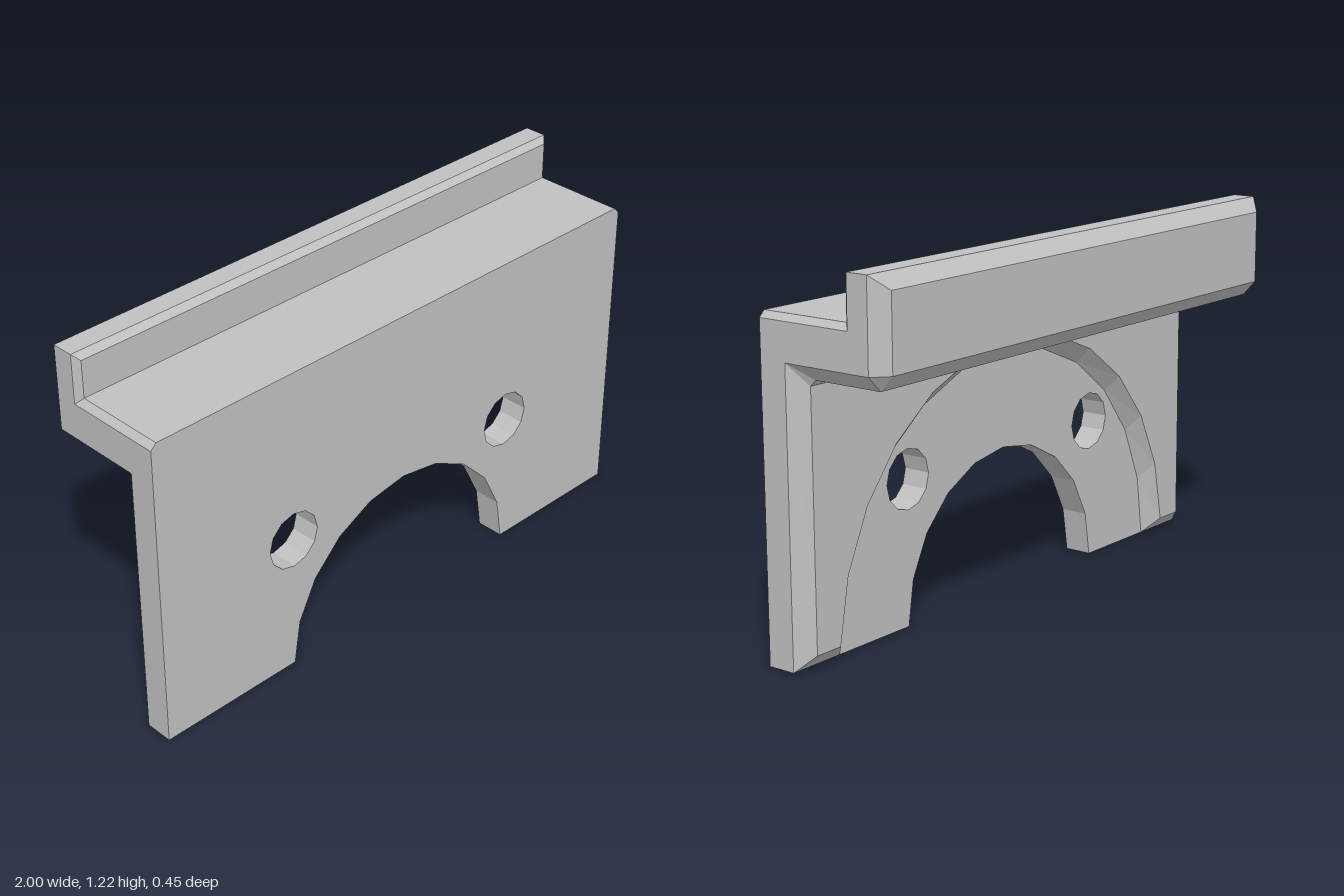
import * as THREE from 'three';

const R = 0.48, FLOOR_R = 0.80, RIM_R = 0.85;          // opening and recess radii
const FRONT = 0.23, FLOOR = 0.135, BACK = 0.085;       // plate depths in z
const HOLE = { x: 0.475, y: 0.475, r: 0.098 };

const v2 = ([x, y]) => new THREE.Vector2(x, y);
const atZ = (pts, z) => pts.map(([x, y]) => [x, y, z]);
const mirrorX = (pts) => pts.map(([x, y, z]) => [-x, y, z]).reverse();

// Points on a circle from angle a to angle b
function arc(r, n, a = 0, b = Math.PI, cx = 0, cy = 0) {
  return Array.from({ length: n + 1 }, (_, i) => {
    const t = a + (b - a) * i / n;
    return [cx + r * Math.cos(t), cy + r * Math.sin(t)];
  });
}

// Flat-shaded quads between pairs of matching rows of points
function strips(pairs) {
  const pos = [];
  for (const [A, B] of pairs) {
    for (let i = 0; i < A.length - 1; i++) {
      pos.push(...A[i], ...A[i + 1], ...B[i + 1], ...A[i], ...B[i + 1], ...B[i]);
    }
  }
  const g = new THREE.BufferGeometry();
  g.setAttribute('position', new THREE.Float32BufferAttribute(pos, 3));
  g.computeVertexNormals();
  return g;
}

// Flat face with optional holes, facing +z
function face(pts, holes = []) {
  const s = new THREE.Shape(pts.map(v2));
  holes.forEach((h) => s.holes.push(new THREE.Path(h.map(v2))));
  return new THREE.ShapeGeometry(s);
}

export function createModel() {
  const group = new THREE.Group();
  const grey = new THREE.MeshStandardMaterial({ color: 0xc0c0c0 });
  grey.name = 'light grey';
  grey.flatShading = true;
  const add = (name, geo) => {
    const m = new THREE.Mesh(geo, grey);
    m.name = name;
    group.add(m);
  };

  const opening = arc(R, 10);
  const boltHoles = [-1, 1].map((s) => arc(HOLE.r, 12, 0, Math.PI * 2, s * HOLE.x, HOLE.y));
  const holePaths = boltHoles.map((h) => h.slice(0, -1));

  // Bracket body: profile rows as z, y, half width, then z, y on the end face
  const profile = [
    [BACK, 0.05, 0.95, FLOOR, 0],
    [BACK, 0.86, 0.95, FLOOR, 0.93],
    [0.065, 0.88, 0.95, FLOOR, 0.93],
    [-0.18, 0.88, 0.95, -0.18, 0.93],
    [-0.225, 0.93, 0.95, -0.18, 0.93],
    [-0.225, 1.17, 0.95, -0.18, 1.215],
    [-0.18, 1.215, 1, -0.18, 1.215],
    [-0.105, 1.215, 1, -0.105, 1.215],
    [-0.085, 1.195, 0.98, -0.105, 1.215],
    [-0.085, 1.07, 0.98, -0.105, 1.05],
    [FRONT, 1.07, 0.98, FRONT, 1.05],
  ];
  const rows = profile.map(([z, y, x, ze, ye]) => [[-1, ye, ze], [-x, y, z], [x, y, z], [1, ye, ze]]);
  const body = [];
  for (let i = 0; i < rows.length - 1; i++) {
    const a = rows[i + 1], b = rows[i];
    if (i > 0) body.push([a, b]);
    else for (const k of [0, 2]) body.push([a.slice(k, k + 2), b.slice(k, k + 2)]); // back panel is separate
  }
  add('ledgeAndLip', strips(body));

  // End faces
  const end = [[FRONT, 0], [FLOOR, 0], [FLOOR, 0.93], [-0.18, 0.93], [-0.18, 1.215],
    [-0.105, 1.215], [-0.105, 1.05], [FRONT, 1.05]];
  add('leftEnd', face(end.map(([z, y]) => [-z, y])).rotateY(Math.PI / 2).translate(1, 0, 0));
  add('rightEnd', face(end).rotateY(-Math.PI / 2).translate(-1, 0, 0));

  // Front face with the arched opening and bolt holes
  add('frontFace', face([[1, 0], [1, 1.05], [0.98, 1.07], [-0.98, 1.07], [-1, 1.05], [-1, 0],
    ...[...opening].reverse()], holePaths).translate(0, 0, FRONT));

  // Arched recess in the back: floor, sloping rim and surrounding panel
  const floorArc = arc(FLOOR_R, 12);
  const a0 = Math.asin(0.05 / RIM_R);
  const rimArc = arc(RIM_R, 12, a0, Math.PI - a0);
  add('recessFloor', face([...floorArc, ...[...opening].reverse()], holePaths)
    .rotateY(Math.PI).translate(0, 0, FLOOR));
  add('recessRim', strips([[atZ(floorArc, FLOOR), atZ(rimArc, BACK)]]));
  add('backPanel', face([[0.95, 0.05], [0.95, 0.86], [-0.95, 0.86], [-0.95, 0.05],
    ...[...rimArc].reverse()]).rotateY(Math.PI).translate(0, 0, BACK));

  // Walls of the opening and bolt holes
  add('openingWall', strips([[atZ(opening, FRONT), atZ(opening, FLOOR)]]));
  add('boltHoleWalls', strips(boltHoles.map((h) => [atZ(h, FRONT), atZ(h, FLOOR)])));

  // Feet: flat underside and its rear bevel on each side
  const feet = [
    [[[R, 0, FLOOR], [1, 0, FLOOR]], [[R, 0, FRONT], [1, 0, FRONT]]],
    [[[rimArc[0][0], 0.05, BACK], [0.95, 0.05, BACK]], [[FLOOR_R, 0, FLOOR], [1, 0, FLOOR]]],
  ];
  add('feet', strips([...feet, ...feet.map(([a, b]) => [mirrorX(a), mirrorX(b)])]));

  // Centre the height and depth exactly
  group.children.forEach((m) => m.geometry.translate(0, 0, -0.0025));
  return group;
}
